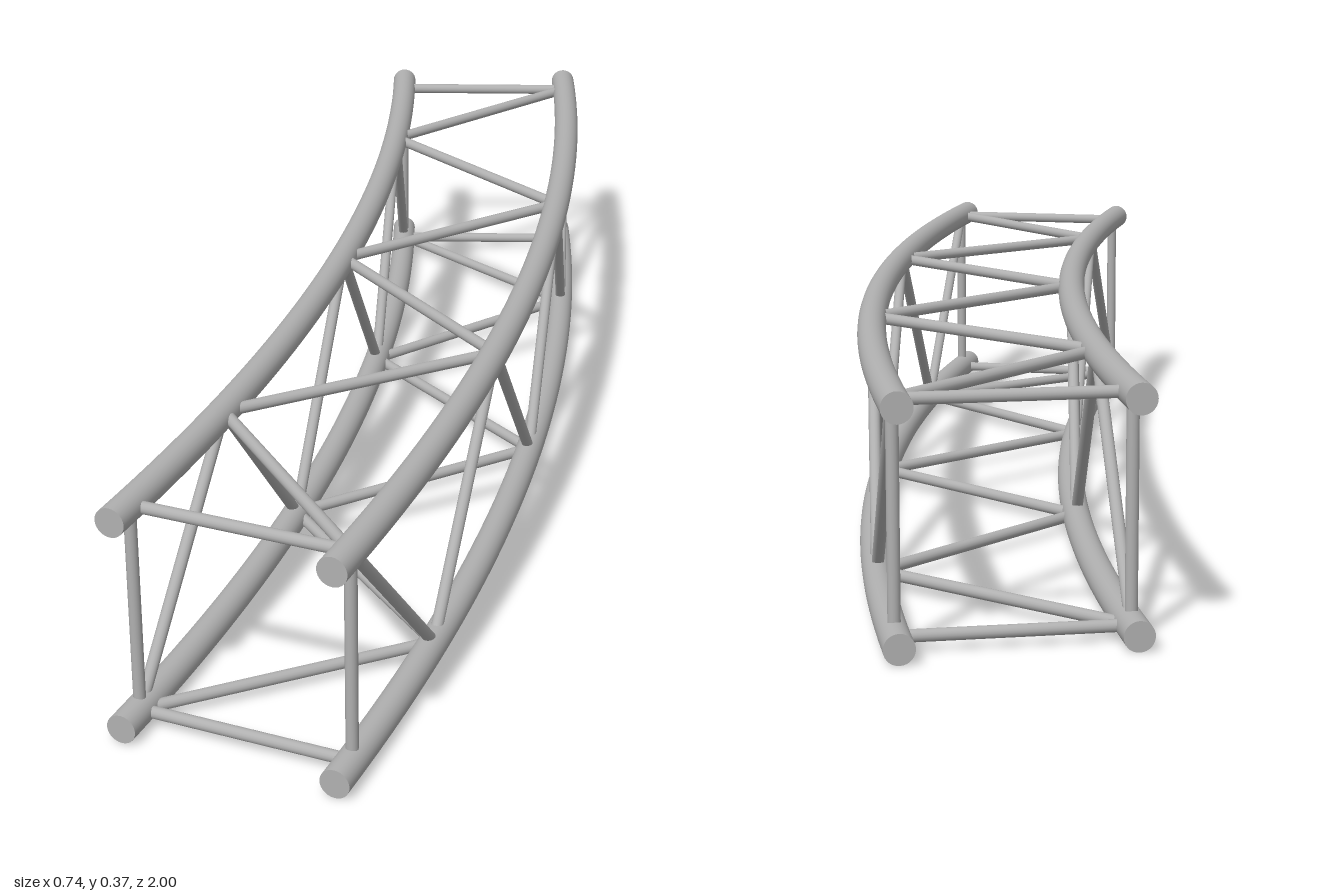
import * as THREE from 'three';

export function createModel() {
  const model = new THREE.Group();
  model.name = 'curvedTruss';
  const steel = new THREE.MeshStandardMaterial({ color: 0xb0b0b0 });
  steel.name = 'steelGrey';

  // Everything is laid out around the centre of the bend
  const sweep = Math.PI / 8;
  const radii = { outer: 5.204, inner: 4.881 };
  const levels = { top: 0.346, bottom: 0.022 };
  const chordR = 0.022, braceR = 0.009;
  const bays = 6, inset = 0.0113;
  const truss = new THREE.Group();
  truss.name = 'truss';
  truss.position.set(-4.859, 0, 1);
  model.add(truss);

  const add = (geometry, name, parent = truss) => {
    const mesh = new THREE.Mesh(geometry, steel);
    mesh.name = name;
    parent.add(mesh);
    return mesh;
  };

  // Joint on a chord, numbered from the front
  const node = (side, level, i) => {
    const a = inset + (sweep - 2 * inset) * i / bays;
    return new THREE.Vector3(radii[side] * Math.cos(a), levels[level], -radii[side] * Math.sin(a));
  };

  // Straight round bar between two joints
  const up = new THREE.Vector3(0, 1, 0);
  const bar = (a, b, name) => {
    const dir = b.clone().sub(a);
    const mesh = add(new THREE.CylinderGeometry(braceR, braceR, dir.length(), 16, 1, true), name);
    mesh.position.copy(a).add(b).multiplyScalar(0.5);
    mesh.quaternion.setFromUnitVectors(up, dir.normalize());
  };

  // Four curved main tubes with flat end caps
  for (const side of ['outer', 'inner']) {
    for (const level of ['top', 'bottom']) {
      const R = radii[side];
      const chord = new THREE.Group();
      chord.name = `${side}${level === 'top' ? 'Top' : 'Bottom'}Chord`;
      chord.position.y = levels[level];
      truss.add(chord);
      add(new THREE.TorusGeometry(R, chordR, 28, 40, sweep).rotateX(-Math.PI / 2), 'chordTube', chord);
      const cap = new THREE.CircleGeometry(chordR, 28);
      add(cap, 'frontCap', chord).position.set(R, 0, 0);
      const back = add(cap, 'backCap', chord);
      back.position.set(R * Math.cos(sweep), 0, -R * Math.sin(sweep));
      back.rotation.y = Math.PI + sweep;
    }
  }

  // Rectangular end frames
  for (const i of [0, bays]) {
    for (const side of ['outer', 'inner']) bar(node(side, 'bottom', i), node(side, 'top', i), 'endPost');
    for (const level of ['top', 'bottom']) bar(node('inner', level, i), node('outer', level, i), 'endRung');
  }

  // Zigzag diagonals on all four faces, sharing alternate joints
  for (let i = 0; i < bays; i++) {
    const [p, q] = i % 2 ? [i + 1, i] : [i, i + 1]; // p even, q odd
    bar(node('outer', 'top', p), node('inner', 'top', q), 'topDiagonal');
    bar(node('inner', 'bottom', p), node('outer', 'bottom', q), 'bottomDiagonal');
    bar(node('outer', 'top', p), node('outer', 'bottom', q), 'outerDiagonal');
    bar(node('inner', 'bottom', p), node('inner', 'top', q), 'innerDiagonal');
  }
  return model;
}
